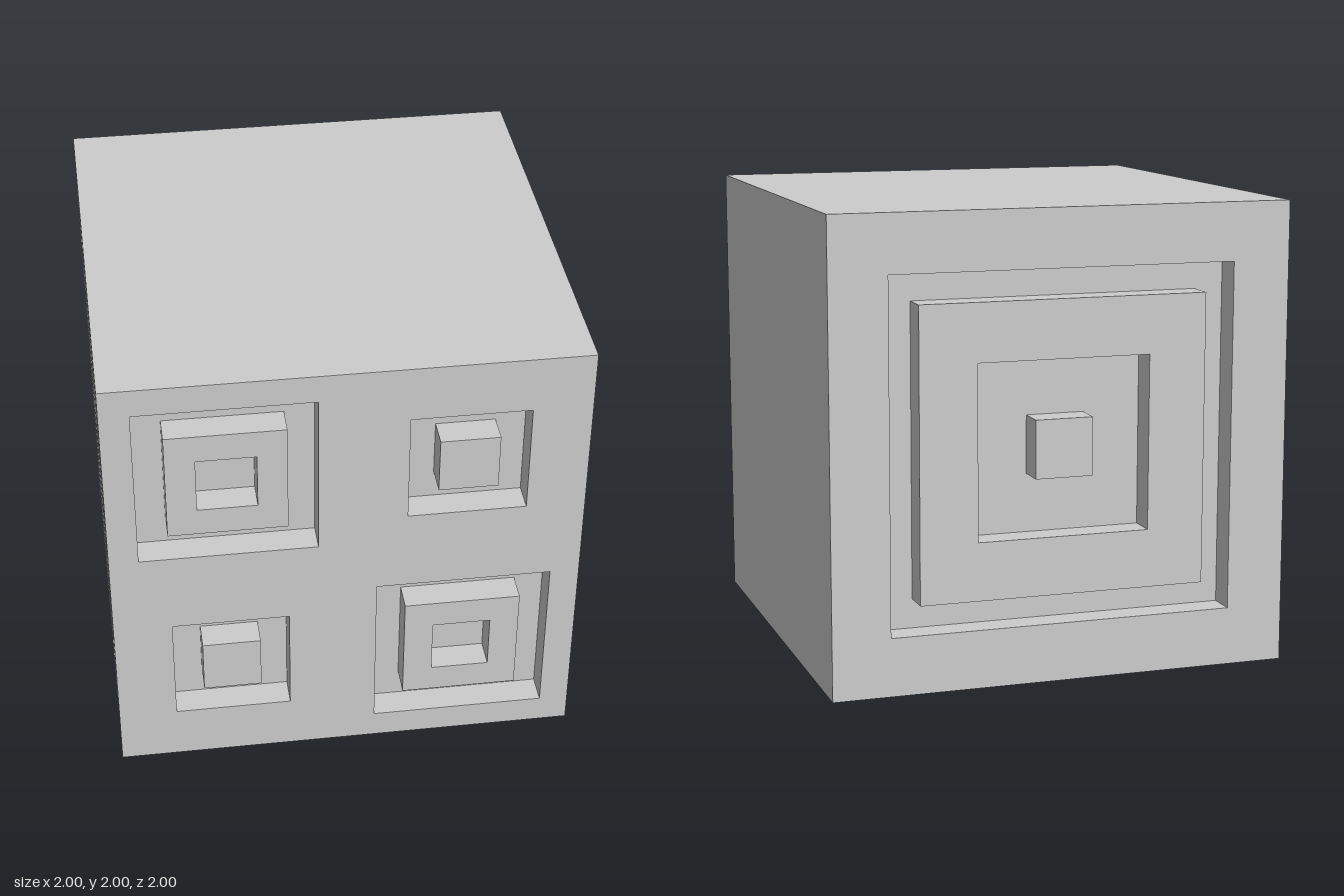
import * as THREE from 'three';
import { mergeGeometries } from 'three/addons/utils/BufferGeometryUtils.js';

const DEPTH = 0.125; // depth of every recess

const material = new THREE.MeshStandardMaterial({ color: 0xcccccc, flatShading: true });

function squarePath(PathType, x, y, h) {
  return new PathType([[-h, -h], [h, -h], [h, h], [-h, h]].map(([u, v]) => new THREE.Vector2(x + u, y + v)));
}

// Flat square of half size h at height z, with square holes [x, y, half]
function plate(x, y, h, z, holes) {
  const shape = squarePath(THREE.Shape, x, y, h);
  shape.holes = holes.map(([hx, hy, hh]) => squarePath(THREE.Path, hx, hy, hh));
  return new THREE.ShapeGeometry(shape).translate(0, 0, z);
}

// Four step walls around a square; they face inward for a pit, outward for a block
function walls(x, y, h, isPit) {
  return [0, 1, 2, 3].map((k) =>
    new THREE.PlaneGeometry(2 * h, DEPTH)
      .rotateX(-Math.PI / 2)
      .translate(0, isPit ? -h : h, 1 - DEPTH / 2)
      .rotateZ((k * Math.PI) / 2)
      .translate(x, y, 0));
}

// Nested squares, alternately sunk and flush with the face
function nestedSquares({ x, y, halves }) {
  const parts = halves.flatMap((h, i) => {
    const isPit = i % 2 === 0;
    const next = halves[i + 1];
    const floor = plate(x, y, h, isPit ? 1 - DEPTH : 1, next ? [[x, y, next]] : []);
    return [floor, ...walls(x, y, h, isPit)];
  });
  return mergeGeometries(parts);
}

// One side of the cube, built facing +z
function cubeFace(name, nests) {
  const face = new THREE.Group();
  face.name = name;
  const panel = new THREE.Mesh(plate(0, 0, 1, 1, nests.map((n) => [n.x, n.y, n.halves[0]])), material);
  panel.name = 'panel';
  face.add(panel);
  nests.forEach((nest, i) => {
    const mesh = new THREE.Mesh(nestedSquares(nest), material);
    mesh.name = `nestedSquares${i + 1}`;
    face.add(mesh);
  });
  return face;
}

export function createModel() {
  const model = new THREE.Group();
  model.name = 'carvedCube';

  const large = [0.375, 0.25, 0.125];
  const small = [0.25, 0.125];
  const quarter = Math.PI / 2;

  // name, turn about x, turn about y, nested squares
  const faces = [
    ['frontFace', 0, 0, [
      { x: -0.5, y: 0.5, halves: large },
      { x: 0.5, y: 0.5, halves: small },
      { x: -0.5, y: -0.5, halves: small },
      { x: 0.5, y: -0.5, halves: large },
    ]],
    ['backFace', 0, Math.PI, [{ x: 0, y: 0, halves: [0.75, 0.625, 0.375, 0.125] }]],
    ['rightFace', 0, -quarter, [{ x: 0, y: 0, halves: [0.875, 0.625, 0.5, 0.375, 0.125] }]],
    ['leftFace', 0, quarter, []],
    ['topFace', -quarter, 0, []],
    ['bottomFace', quarter, 0, []],
  ];

  for (const [name, turnX, turnY, nests] of faces) {
    const face = cubeFace(name, nests);
    face.rotation.set(turnX, turnY, 0);
    face.position.y = 1;
    model.add(face);
  }
  return model;
}
